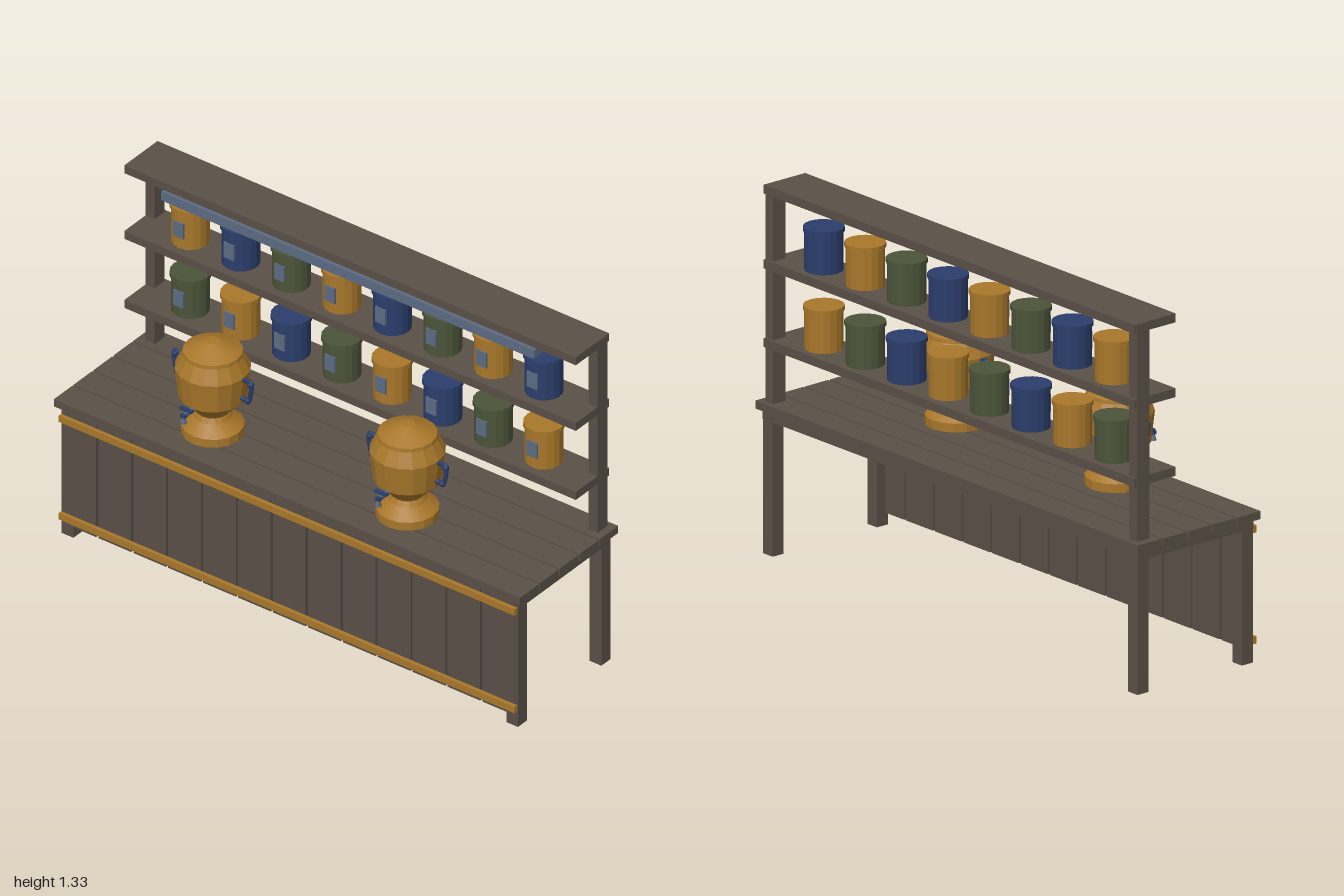
import * as THREE from 'three';
import { toCreasedNormals } from 'three/addons/utils/BufferGeometryUtils.js';

const mat = (name, color) => {
  const m = new THREE.MeshStandardMaterial({ color });
  m.name = name;
  return m;
};

export function createModel() {
  const wood = mat('darkWood', 0x5a5047);
  const gold = mat('ochre', 0xa8772a);
  const navy = mat('navy', 0x2a3d6b);
  const green = mat('olive', 0x4b5439);
  const slate = mat('slate', 0x5c6a82);

  const model = new THREE.Group();
  model.name = 'beverageStall';

  const add = (parent, name, geometry, material, x, y, z) => {
    const mesh = new THREE.Mesh(geometry, material);
    mesh.name = name;
    mesh.position.set(x, y, z);
    parent.add(mesh);
    return mesh;
  };
  // Box given by its extents on each axis
  const box = (parent, name, material, [x0, x1], [y0, y1], [z0, z1]) =>
    add(parent, name, new THREE.BoxGeometry(x1 - x0, y1 - y0, z1 - z0), material,
      (x0 + x1) / 2, (y0 + y1) / 2, (z0 + z1) / 2);
  const faceted = (g) => toCreasedNormals(g, 0.3);
  const lathe = (pts, sides) =>
    faceted(new THREE.LatheGeometry(pts.map(([r, y]) => new THREE.Vector2(r, y)), sides));

  // Table top planks
  const table = new THREE.Group();
  table.name = 'table';
  model.add(table);
  for (let i = 0; i < 5; i++) {
    const z = 0.276 - i * 0.1118;
    box(table, 'topPlank', wood, [-1, 1], [0.52, 0.549], [z - 0.1048, z]);
  }

  // Legs and apron rails
  for (const s of [-1, 1]) {
    for (const t of [-1, 1]) {
      add(table, 'leg', new THREE.BoxGeometry(0.05, 0.5, 0.05), wood, s * 0.953, 0.25, t * 0.235);
    }
    add(table, 'sideApron', new THREE.BoxGeometry(0.03, 0.036, 0.52), wood, s * 0.965, 0.502, 0);
    add(table, 'longApron', new THREE.BoxGeometry(1.956, 0.036, 0.03), wood, 0, 0.502, s * 0.244);
  }

  // Front boards and painted battens
  for (let i = 0; i < 13; i++) {
    add(table, 'frontBoard', new THREE.BoxGeometry(0.14, 0.475, 0.016), wood,
      (i - 6) * 0.1497, 0.2825, 0.255);
  }
  for (const y of [0.078, 0.479]) {
    add(table, 'frontBatten', new THREE.BoxGeometry(1.955, 0.026, 0.015), gold, 0, y, 0.27);
  }

  // Shelf rack
  const rack = new THREE.Group();
  rack.name = 'shelfRack';
  model.add(rack);
  for (const s of [-1, 1]) {
    add(rack, 'upright', new THREE.BoxGeometry(0.04, 0.782, 0.056), wood, s * 0.95, 0.94, -0.228);
  }
  const shelfTops = [0.78, 1.064, 1.334];
  for (const y of shelfTops) {
    box(rack, 'shelf', wood, [-0.968, 0.968], [y - 0.032, y], [-0.266, -0.079]);
  }

  // Strip lamp under the top shelf
  box(rack, 'lampHousing', slate, [-0.8, 0.8], [1.268, 1.302], [-0.119, -0.066]);
  box(rack, 'lampLens', slate, [-0.785, 0.785], [1.26, 1.268], [-0.113, -0.072]);

  // Canisters in two rows
  const bodyGeo = faceted(new THREE.CylinderGeometry(0.067, 0.067, 0.142, 16));
  const lidGeo = faceted(new THREE.CylinderGeometry(0.072, 0.072, 0.016, 16));
  const labelGeo = new THREE.BoxGeometry(0.044, 0.062, 0.008);
  const paints = [gold, navy, green];
  for (let row = 0; row < 2; row++) {
    for (let i = 0; i < 8; i++) {
      const can = new THREE.Group();
      can.name = 'canister';
      can.position.set((i - 3.5) * 0.2166, shelfTops[row], -0.176);
      const paint = paints[(i + (row ? 0 : 2)) % 3];
      add(can, 'canisterBody', bodyGeo, paint, 0, 0.071, 0);
      add(can, 'canisterLid', lidGeo, paint, 0, 0.148, 0);
      add(can, 'canisterLabel', labelGeo, slate, 0, 0.075, 0.066);
      model.add(can);
    }
  }

  // Urns
  const urnGeo = lathe([
    [0, 0], [0.11, 0], [0.11, 0.032], [0.068, 0.066], [0.057, 0.085], [0.068, 0.1],
    [0.105, 0.138], [0.118, 0.15], [0.132, 0.265], [0.106, 0.318], [0, 0.318],
  ], 16);
  const lidTopGeo = lathe([
    [0, 0.318], [0.106, 0.318], [0.104, 0.332], [0.05, 0.358], [0.025, 0.369], [0, 0.37],
  ], 16);
  const handlePath = (s) => new THREE.CatmullRomCurve3([
    [0.124, 0.258], [0.163, 0.262], [0.167, 0.245], [0.158, 0.19], [0.148, 0.179], [0.114, 0.183],
  ].map(([x, y]) => new THREE.Vector3(s * x, y, 0)), false, 'catmullrom', 0.3);
  const knobGeo = new THREE.SphereGeometry(0.013, 8, 6);
  const rodGeo = new THREE.CylinderGeometry(0.01, 0.01, 0.055, 8);

  for (const x of [-0.455, 0.38]) {
    const urn = new THREE.Group();
    urn.name = 'urn';
    urn.position.set(x, 0.549, 0.096);
    add(urn, 'urnBody', urnGeo, gold, 0, 0, 0);
    add(urn, 'urnLid', lidTopGeo, gold, 0, 0, 0);
    // Side handles
    for (const s of [-1, 1]) {
      add(urn, 'urnHandle', new THREE.TubeGeometry(handlePath(s), 20, 0.008, 6), navy, 0, 0, 0);
      add(urn, 'handleKnob', knobGeo, navy, s * 0.162, 0.252, 0);
      add(urn, 'handleKnob', knobGeo, navy, s * 0.15, 0.182, 0);
    }
    // Tap
    add(urn, 'tapBarrel', rodGeo, slate, 0, 0.146, 0.132).rotation.x = Math.PI / 2;
    add(urn, 'tapSpout', new THREE.CylinderGeometry(0.006, 0.012, 0.026, 8), slate, 0, 0.13, 0.165);
    add(urn, 'tapStem', new THREE.CylinderGeometry(0.006, 0.006, 0.022, 8), navy, 0, 0.155, 0.148);
    add(urn, 'tapLever', new THREE.BoxGeometry(0.05, 0.009, 0.014), navy, 0, 0.162, 0.148);
    add(urn, 'tapCollar', new THREE.BoxGeometry(0.018, 0.012, 0.02), navy, 0, 0.146, 0.162);
    model.add(urn);
  }
  return model;
}
